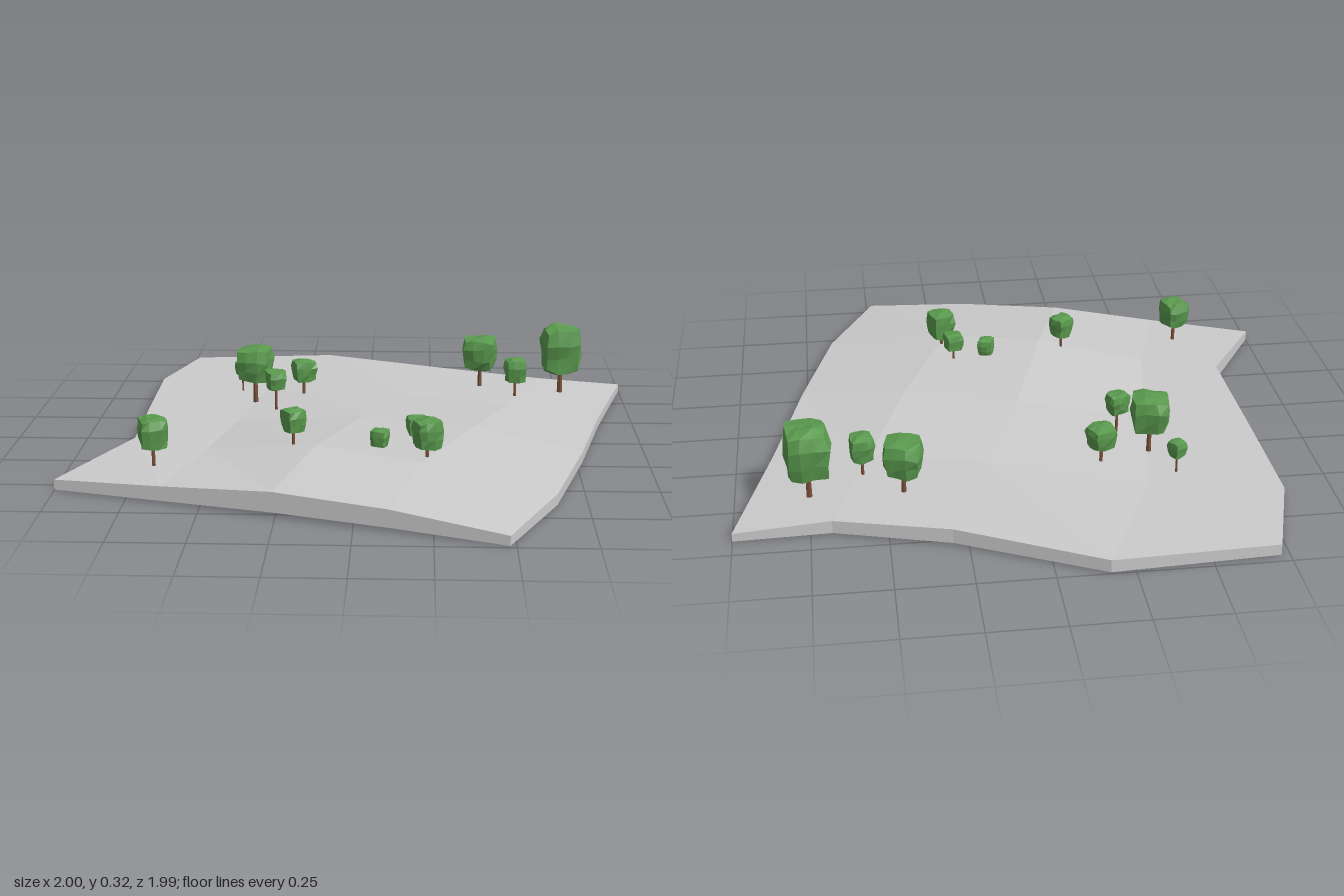
import * as THREE from 'three';

// Ground grid, rows from back to front, each point [x, y, z]
const GROUND = [
  [[-0.72, 0.05, -0.97], [-0.17, 0.058, -1.0], [0.3, 0.068, -0.78], [0.68, 0.06, -0.67], [1.0, 0.037, -0.67]],
  [[-0.82, 0.05, -0.64], [-0.37, 0.05, -0.58], [0.15, 0.072, -0.38], [0.54, 0.068, -0.28], [0.87, 0.045, -0.2]],
  [[-0.8, 0.075, -0.2], [-0.46, 0.05, -0.1], [0.0, 0.095, -0.02], [0.4, 0.1, 0.1], [0.77, 0.05, 0.22]],
  [[-0.79, 0.078, 0.2], [-0.52, 0.075, 0.29], [-0.14, 0.13, 0.41], [0.21, 0.112, 0.53], [0.65, 0.05, 0.64]],
  [[-1.0, 0.045, 0.55], [-0.63, 0.066, 0.66], [-0.26, 0.092, 0.77], [0.11, 0.08, 0.88], [0.48, 0.042, 0.99]],
];

// x, z, crown width, crown bottom, crown top, turn
const TREES = [
  [0.75, -0.5, 0.155, 0.135, 0.322, 0.08],
  [0.44, -0.53, 0.13, 0.135, 0.265, -0.2],
  [0.57, -0.4, 0.085, 0.12, 0.215, 0.15],
  [-0.42, -0.34, 0.135, 0.135, 0.267, -0.15],
  [-0.24, -0.41, 0.09, 0.115, 0.2, 0.4],
  [-0.33, -0.21, 0.075, 0.135, 0.213, 0.4],
  [-0.485, -0.49, 0.055, 0.11, 0.17, 0.5],
  [-0.68, 0.47, 0.1, 0.133, 0.24, 0.35],
  [-0.22, 0.37, 0.075, 0.16, 0.245, 0.6],
  [0.07, 0.36, 0.06, 0.105, 0.172, -0.35],
  [0.195, 0.34, 0.07, 0.143, 0.212, 0.25],
  [0.23, 0.465, 0.095, 0.14, 0.245, 0.35],
];

const material = (color) => new THREE.MeshStandardMaterial({ color, flatShading: true });

// Slab: upper grid, flatter underside and a wall along the rim
function groundGeometry() {
  const n = 5;
  const top = GROUND.flat();
  const bottom = top.map(([x, y, z]) => [x, 0.008 + Math.max(0, y - 0.037) * 0.27, z]);
  const index = [];
  const quad = (a, b, c, d) => index.push(a, b, c, a, c, d);
  const under = n * n;
  for (let i = 0; i < n - 1; i++) {
    for (let j = 0; j < n - 1; j++) {
      const a = i * n + j, b = a + n, c = b + 1, d = a + 1;
      quad(a, b, c, d);
      quad(under + a, under + d, under + c, under + b);
    }
    const wall = (p, q) => quad(p, under + p, under + q, q);
    wall(i * n, (i + 1) * n);                                  // left
    wall((n - 1) * n + i, (n - 1) * n + i + 1);                // front
    wall((i + 1) * n + n - 1, i * n + n - 1);                  // right
    wall(i + 1, i);                                            // back
  }
  const geometry = new THREE.BufferGeometry();
  geometry.setAttribute('position', new THREE.Float32BufferAttribute([...top, ...bottom].flat(), 3));
  geometry.setIndex(index);
  geometry.computeVertexNormals();
  return geometry;
}

// Repeatable noise in -1..1 from a position, so shared corners stay joined
function noise(x, y, z, seed) {
  const s = Math.sin(x * 127.1 + y * 311.7 + z * 74.7 + seed * 53.3) * 43758.5453;
  return (s - Math.floor(s)) * 2 - 1;
}

// Crown: subdivided unit cube, partly rounded and roughened
function crownGeometry(seed) {
  const geometry = new THREE.BoxGeometry(1, 1, 1, 3, 3, 3);
  const position = geometry.attributes.position;
  const v = new THREE.Vector3();
  for (let i = 0; i < position.count; i++) {
    v.fromBufferAttribute(position, i);
    const [x, y, z] = v.toArray().map((k) => Math.round(k * 6));
    v.lerp(v.clone().setLength(0.53), 0.5);
    v.x += noise(x, y, z, seed) * 0.045;
    v.y += noise(y, z, x, seed + 1) * 0.045;
    v.z += noise(z, x, y, seed + 2) * 0.045;
    if (y < 0) { v.x *= 0.92; v.z *= 0.92; }
    position.setXYZ(i, v.x, v.y, v.z);
  }
  geometry.computeVertexNormals();
  return geometry;
}

export function createModel() {
  const model = new THREE.Group();
  model.name = 'groveOnHill';

  const ground = new THREE.Mesh(groundGeometry(), material(0xcccccc));
  ground.name = 'ground';
  model.add(ground);

  const leaves = material(0x5a9a4e);
  const bark = material(0x7a5038);
  TREES.forEach(([x, z, width, low, high, turn], i) => {
    const tree = new THREE.Group();
    tree.name = 'tree';
    tree.position.set(x, 0, z);
    tree.rotation.y = turn;

    // Trunk roots into the slab and ends inside the crown
    const foot = 0.02, length = low + 0.02 - foot;
    const trunk = new THREE.Mesh(new THREE.CylinderGeometry(width * 0.055, width * 0.075, length, 6), bark);
    trunk.name = 'trunk';
    trunk.position.y = foot + length / 2;

    const crown = new THREE.Mesh(crownGeometry(i + 1), leaves);
    crown.name = 'crown';
    crown.scale.set(width, high - low, width);
    crown.position.y = (low + high) / 2;

    tree.add(trunk, crown);
    model.add(tree);
  });
  return model;
}
